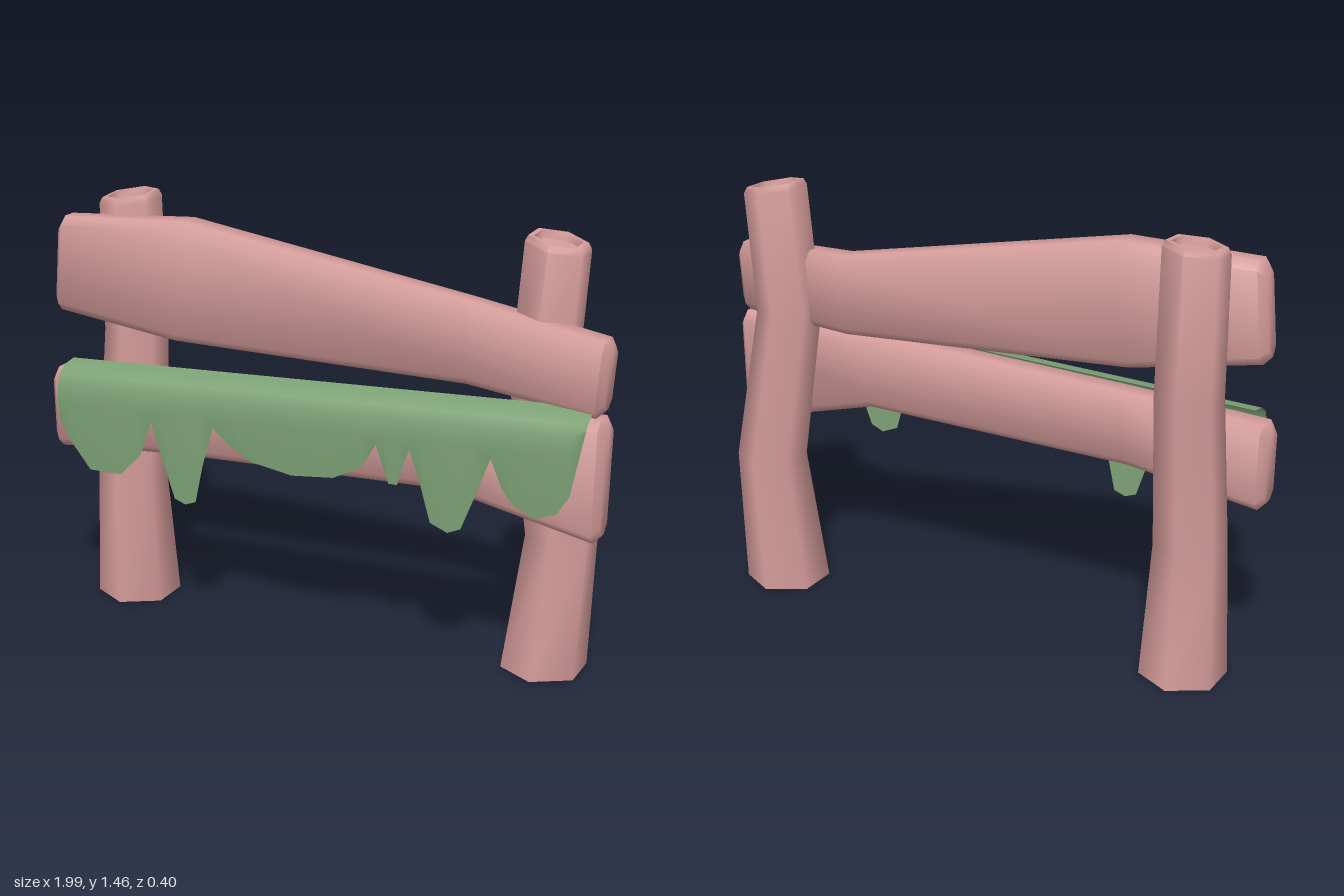
import * as THREE from 'three';
import { toCreasedNormals } from 'three/addons/utils/BufferGeometryUtils.js';

const wood = new THREE.MeshStandardMaterial({ color: 0xd49c9a });
wood.name = 'rosy wood';
const green = new THREE.MeshStandardMaterial({ color: 0x7da276, side: THREE.DoubleSide });
green.name = 'moss green';

// Skin a list of equal-length rings, closing both ends with fans.
function loft(rings, crease) {
  const pos = [];
  const tri = (...pts) => pts.forEach((p) => pos.push(p.x, p.y, p.z));
  const n = rings[0].length;
  const centre = (r) => r.reduce((s, p) => s.add(p), new THREE.Vector3()).divideScalar(n);
  const first = rings[0], last = rings[rings.length - 1];
  const c0 = centre(first), c1 = centre(last);
  for (let j = 0; j < n; j++) {
    const k = (j + 1) % n;
    for (let i = 0; i < rings.length - 1; i++) {
      const a = rings[i], b = rings[i + 1];
      tri(a[j], a[k], b[k]);
      tri(a[j], b[k], b[j]);
    }
    tri(c0, first[k], first[j]);
    tri(c1, last[j], last[k]);
  }
  const g = new THREE.BufferGeometry();
  g.setAttribute('position', new THREE.Float32BufferAttribute(pos, 3));
  return toCreasedNormals(g, crease);
}

function addMesh(group, name, geometry, material) {
  const mesh = new THREE.Mesh(geometry, material);
  mesh.name = name;
  group.add(mesh);
}

// Crooked six-sided post; stations are [x, y, z, radius], the top is tilted and hollowed.
function postGeometry(stations, slopeX, slopeZ) {
  const ring = ([x, y, z, r], sx = 0, sz = 0) => Array.from({ length: 6 }, (_, i) => {
    const t = i * Math.PI / 3, dx = r * Math.sin(t), dz = r * Math.cos(t);
    return new THREE.Vector3(x + dx, y + dx * sx + dz * sz, z + dz);
  });
  const [x, y, z, r] = stations[stations.length - 1];
  const rings = stations.slice(0, -1).map((s) => ring(s));
  for (const [dy, k] of [[-0.02, 1], [0, 0.9], [0, 0.74], [-0.022, 0.68]]) {
    rings.push(ring([x, y + dy, z, r * k], slopeX, slopeZ));
  }
  return loft(rings, 1.1);
}

// Bent plank with bevelled edges; stations are [xBottom, xTop, y0, y1, z0, z1].
function plankGeometry(stations) {
  const bevel = 0.028;
  const ring = ([xb, xt, y0, y1, z0, z1], inset = 0, dx = 0) => {
    const a = y0 + inset, b = y1 - inset, c = z0 + inset, d = z1 - inset, e = bevel;
    return [[b, c + e], [b, d - e], [b - e, d], [a + e, d], [a, d - e], [a, c + e], [a + e, c], [b - e, c]]
      .map(([y, z]) => new THREE.Vector3(xb + (xt - xb) * (y - y0) / (y1 - y0) + dx, y, z));
  };
  const last = stations[stations.length - 1];
  return loft([
    ring(stations[0], 0.022),
    ring(stations[0], 0, 0.022),
    ...stations.slice(1, -1).map((s) => ring(s)),
    ring(last, 0, -0.022),
    ring(last, 0.022),
  ], 0.9);
}

// Moss draped over the plank: a curved sheet whose lower edge follows the drips.
function mossGeometry() {
  const edge = [
    [-0.935, 0.7], [-0.9, 0.63], [-0.82, 0.53], [-0.7, 0.53], [-0.62, 0.61], [-0.575, 0.735],
    [-0.545, 0.64], [-0.49, 0.475], [-0.45, 0.46], [-0.41, 0.475], [-0.38, 0.61], [-0.34, 0.745],
    [-0.27, 0.69], [-0.2, 0.65], [-0.05, 0.625], [0.1, 0.64], [0.2, 0.69], [0.25, 0.775],
    [0.28, 0.69], [0.295, 0.65], [0.325, 0.65], [0.365, 0.775], [0.4, 0.68], [0.44, 0.54],
    [0.5, 0.515], [0.545, 0.535], [0.59, 0.65], [0.64, 0.785], [0.68, 0.69], [0.72, 0.64],
    [0.79, 0.61], [0.86, 0.635], [0.9, 0.7], [0.945, 0.92],
  ];
  const drape = [[0, 0.09], [0.008, 0.145], [0.03, 0.18], [0.07, 0.197], [0.13, 0.203]];
  const pos = [], index = [], rows = drape.length + 1;
  edge.forEach(([x, low], i) => {
    const top = 0.89 + (x + 0.935) * 0.039;
    for (const [drop, z] of drape) pos.push(x, Math.max(top - drop, low), z);
    pos.push(x, low, 0.193);
    if (i === 0) return;
    for (let j = 0; j < rows - 1; j++) {
      const a = (i - 1) * rows + j, b = a + rows;
      index.push(a, a + 1, b + 1, a, b + 1, b);
    }
  });
  const g = new THREE.BufferGeometry();
  g.setAttribute('position', new THREE.Float32BufferAttribute(pos, 3));
  g.setIndex(index);
  g.computeVertexNormals();
  return g;
}

export function createModel() {
  const group = new THREE.Group();
  group.name = 'fence';

  // Posts
  addMesh(group, 'rightPost', postGeometry([
    [-0.785, 0, -0.055, 0.145], [-0.783, 0.45, -0.03, 0.12],
    [-0.785, 0.97, -0.09, 0.11], [-0.782, 1.45, -0.07, 0.106],
  ], 0.12, -0.06), wood);
  addMesh(group, 'leftPost', postGeometry([
    [0.755, 0, -0.055, 0.145], [0.795, 0.47, -0.07, 0.12],
    [0.728, 1.0, -0.032, 0.11], [0.755, 1.445, -0.05, 0.106],
  ], -0.19, -0.02), wood);

  // Rails
  addMesh(group, 'upperPlank', plankGeometry([
    [-0.99, -0.962, 1.06, 1.39, 0.02, 0.125],
    [-0.54, -0.5, 0.995, 1.405, -0.035, 0.105],
    [0.48, 0.49, 0.957, 1.23, -0.085, 0.035],
    [0.975, 0.995, 0.94, 1.185, 0.03, 0.155],
  ]), wood);
  addMesh(group, 'lowerPlank', plankGeometry([
    [-0.995, -1, 0.575, 0.86, 0.02, 0.145],
    [-0.5, -0.5, 0.623, 0.872, 0.06, 0.185],
    [0.48, 0.48, 0.648, 0.915, 0.06, 0.185],
    [0.98, 0.99, 0.53, 0.935, 0.03, 0.15],
  ]), wood);

  // Hanging moss
  addMesh(group, 'moss', mossGeometry(), green);
  return group;
}
